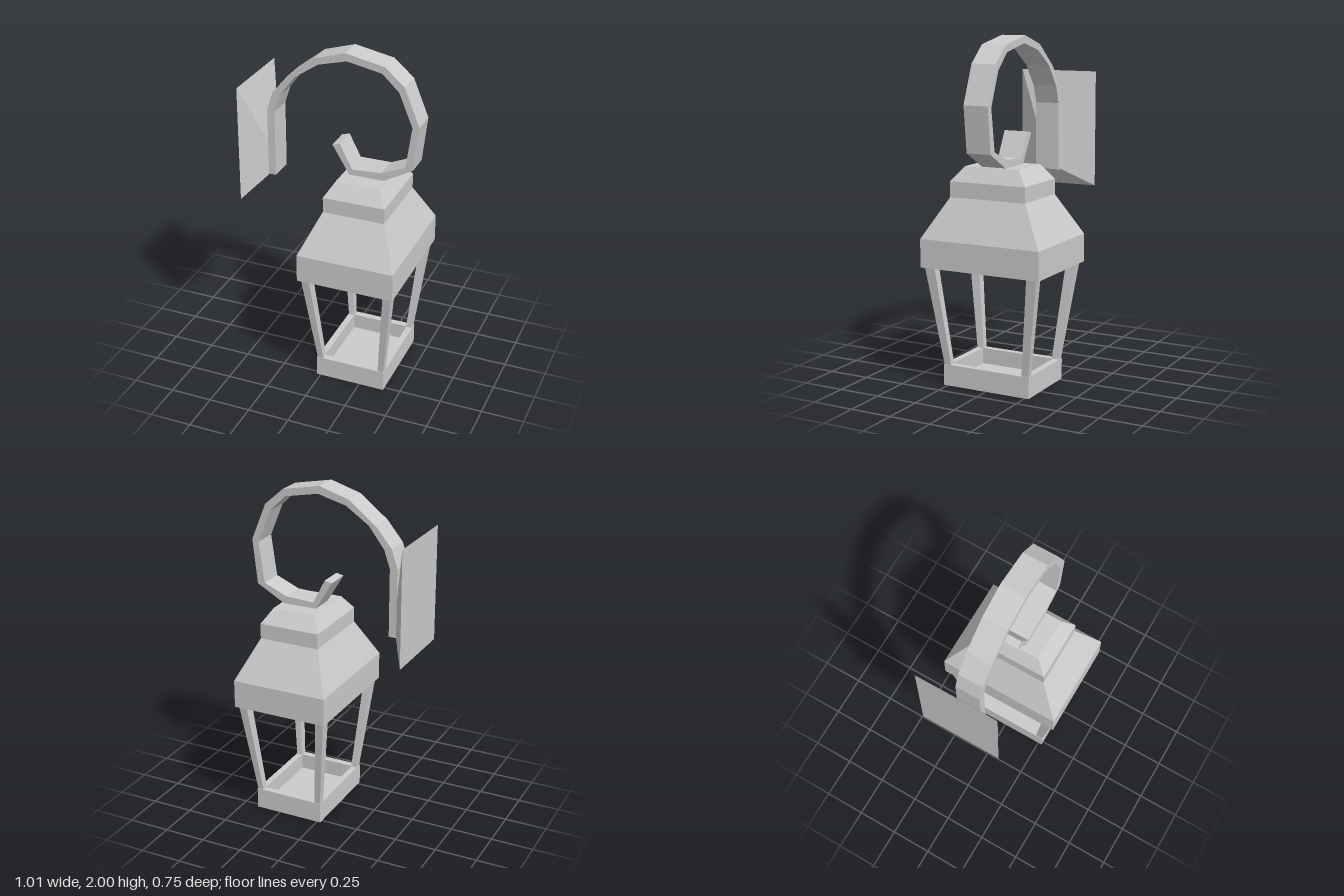
import * as THREE from 'three';

const material = new THREE.MeshStandardMaterial({ color: 0xcccccc, flatShading: true });
const CX = 0.19; // lantern axis

// Skin through rectangular rings [y, x0, x1, z0, z1]
function loft(rings) {
  const pts = [];
  const corners = ([y, x0, x1, z0, z1]) =>
    [[x0, z1], [x1, z1], [x1, z0], [x0, z0]].map(([x, z]) => new THREE.Vector3(x, y, z));
  const tri = (a, b, c) => {
    if (new THREE.Triangle(a, b, c).getArea() > 1e-8) pts.push(a, b, c);
  };
  for (let i = 0; i < rings.length - 1; i++) {
    const lo = corners(rings[i]), hi = corners(rings[i + 1]);
    for (let k = 0; k < 4; k++) {
      const n = (k + 1) % 4;
      tri(lo[k], lo[n], hi[n]);
      tri(lo[k], hi[n], hi[k]);
    }
  }
  const g = new THREE.BufferGeometry().setFromPoints(pts);
  g.computeVertexNormals();
  return g;
}

// Ring centred on the lantern axis, from half sizes
const ring = (y, hx, hz) => [y, CX - hx, CX + hx, -hz, hz];

// Ring collapsed to its centre, used to close an end
const cap = ([y, x0, x1, z0, z1]) => {
  const x = (x0 + x1) / 2, z = (z0 + z1) / 2;
  return [y, x, x, z, z];
};
const closed = (rings) => [cap(rings[0]), ...rings, cap(rings[rings.length - 1])];

export function createModel() {
  const group = new THREE.Group();
  const add = (name, geometry) => {
    const mesh = new THREE.Mesh(geometry, material);
    mesh.name = name;
    group.add(mesh);
    return mesh;
  };

  // Open tray at the bottom
  add('base', loft(closed([
    ring(0, 0.212, 0.275), ring(0.125, 0.212, 0.275),
    ring(0.125, 0.175, 0.235), ring(0.03, 0.175, 0.235),
  ])));

  // Stepped roof with a recessed underside
  add('roof', loft(closed([
    ring(0.76, 0.255, 0.34), ring(0.7, 0.255, 0.34),
    ring(0.7, 0.29, 0.375), ring(0.865, 0.29, 0.375),
    ring(1.1, 0.184, 0.238), ring(1.19, 0.184, 0.238),
    ring(1.275, 0.131, 0.17),
  ])));

  // Four slanted corner posts
  const span = (centre, sign, a, b) =>
    sign > 0 ? [centre + a, centre + b] : [centre - b, centre - a];
  for (const sx of [-1, 1]) {
    for (const sz of [-1, 1]) {
      const post = (y, xi, xo, zi, zo) => [y, ...span(CX, sx, xi, xo), ...span(0, sz, zi, zo)];
      add('cornerPost', loft(closed([
        post(0.12, 0.173, 0.208, 0.228, 0.271),
        post(0.71, 0.226, 0.276, 0.293, 0.356),
      ])));
    }
  }

  // Curved hook arm, a flat band traced by its outer and inner edges
  const outer = [
    [-0.405, 1.185], [-0.405, 1.59], [-0.37, 1.7], [-0.275, 1.815], [-0.11, 1.945],
    [0.07, 2], [0.3, 1.955], [0.415, 1.855], [0.505, 1.635], [0.475, 1.37],
    [0.305, 1.275], [0.1, 1.27], [-0.005, 1.445],
  ];
  const inner = [
    [-0.36, 1.185], [-0.36, 1.585], [-0.325, 1.69], [-0.23, 1.815], [-0.09, 1.91],
    [0.08, 1.955], [0.285, 1.915], [0.385, 1.82], [0.465, 1.625], [0.43, 1.38],
    [0.29, 1.32], [0.115, 1.31], [0.04, 1.455],
  ];
  const outline = [...outer, ...inner.reverse()].map(([x, y]) => new THREE.Vector2(x, y));
  const band = new THREE.ExtrudeGeometry(new THREE.Shape(outline), { depth: 0.15, bevelEnabled: false });
  add('hookArm', band.translate(0, 0, -0.08));

  // Tapered wall plate, lofted upright and then turned to point along +x
  const plate = loft(closed([
    [-0.507, -1.77, -1.08, -0.255, 0.24],
    [-0.405, -1.4, -1.18, -0.08, 0.07],
  ]));
  add('wallPlate', plate.rotateZ(-Math.PI / 2));

  return group;
}
